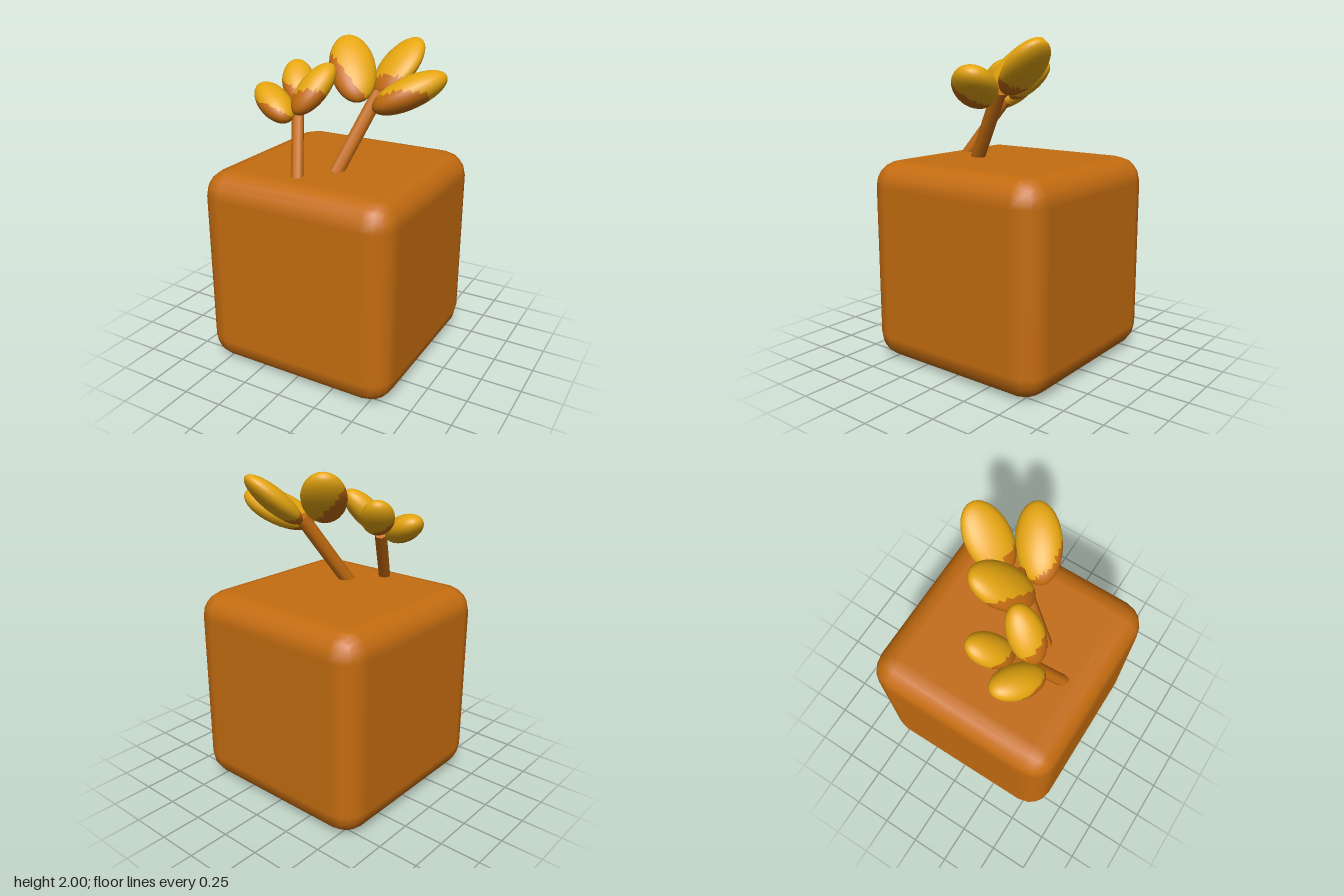
import * as THREE from 'three';
import { RoundedBoxGeometry } from 'three/addons/geometries/RoundedBoxGeometry.js';

const V = (a) => new THREE.Vector3(...a);

export function createModel() {
  const group = new THREE.Group();
  const clay = new THREE.MeshStandardMaterial({ name: 'orange brown', color: 0xc46c10 });
  const gold = new THREE.MeshStandardMaterial({ name: 'golden yellow', color: 0xe6a610 });

  const add = (geometry, material, name) => {
    const mesh = new THREE.Mesh(geometry, material);
    mesh.name = name;
    group.add(mesh);
    return mesh;
  };

  // Rounded block
  const block = add(new RoundedBoxGeometry(1.265, 1.265, 1.265, 2, 0.16), clay, 'block');
  block.position.y = 0.6325;

  // Leaning stems
  const stem = (from, to, radius, name) => {
    const a = V(from), dir = V(to).sub(a);
    const mesh = add(new THREE.CylinderGeometry(radius, radius, dir.length(), 8), clay, name);
    mesh.position.copy(a).addScaledVector(dir, 0.5);
    mesh.quaternion.setFromUnitVectors(new THREE.Vector3(0, 1, 0), dir.normalize());
  };
  stem([0.08, 1.245, 0.205], [0.213, 1.69, -0.085], 0.045, 'leftStem');
  stem([-0.055, 1.245, 0.412], [-0.185, 1.6, 0.187], 0.037, 'rightStem');

  // Flattened bud: half length vector, width direction, half width and half thickness.
  // Faces beyond the sloped plane (normal, offset) are gold, the rest clay.
  const bud = (name, center, length, across, width, thick, normal, offset) => {
    const d = V(length), axis = d.clone().normalize();
    const w = V(across).addScaledVector(axis, -V(across).dot(axis)).normalize();
    const t = w.clone().cross(axis);
    const basis = new THREE.Matrix4().makeBasis(
      w.multiplyScalar(width), d, t.multiplyScalar(thick));
    const geo = new THREE.SphereGeometry(1, 24, 18).applyMatrix4(basis);
    const n = V(normal).normalize(), p = new THREE.Vector3();
    const pos = geo.attributes.position, index = geo.index.array;
    const upper = [], lower = [];
    for (let i = 0; i < index.length; i += 3) {
      const face = [index[i], index[i + 1], index[i + 2]];
      const side = face.reduce((s, v) => s + p.fromBufferAttribute(pos, v).dot(n) / 3, 0);
      (side > offset ? upper : lower).push(...face);
    }
    geo.setIndex([...upper, ...lower]);
    geo.addGroup(0, upper.length, 0);
    geo.addGroup(upper.length, lower.length, 1);
    add(geo, [gold, clay], name).position.copy(V(center));
  };

  // Large cluster
  bud('largeInnerBud', [0.043, 1.823, -0.07], [-0.11, 0.165, -0.13], [0.78, 0, -0.62],
    0.14, 0.085, [0.6, 0.6, -0.5], -0.05);
  bud('largeBackBud', [0.243, 1.82, -0.285], [0.06, 0.15, -0.155], [0.94, 0, 0.34],
    0.137, 0.07, [0, 0.75, -0.65], -0.11);
  bud('largeOuterBud', [0.417, 1.715, -0.07], [0.175, 0.095, -0.125], [0.5, 0.2, 0.85],
    0.135, 0.095, [-0.2, 0.8, -0.55], -0.045);

  // Small cluster
  bud('smallInnerBud', [-0.09, 1.727, 0.162], [0.063, 0.132, -0.115], [0.85, 0, 0.5],
    0.105, 0.08, [-0.2, 0.8, -0.55], -0.045);
  bud('smallBackBud', [-0.265, 1.73, 0.05], [-0.075, 0.11, -0.1], [0.8, 0, -0.6],
    0.1, 0.07, [0.3, 0.7, -0.6], -0.06);
  bud('smallOuterBud', [-0.31, 1.64, 0.248], [-0.142, 0.075, -0.08], [-0.45, 0.1, 0.88],
    0.105, 0.08, [0.2, 0.8, -0.5], -0.045);

  return group;
}
